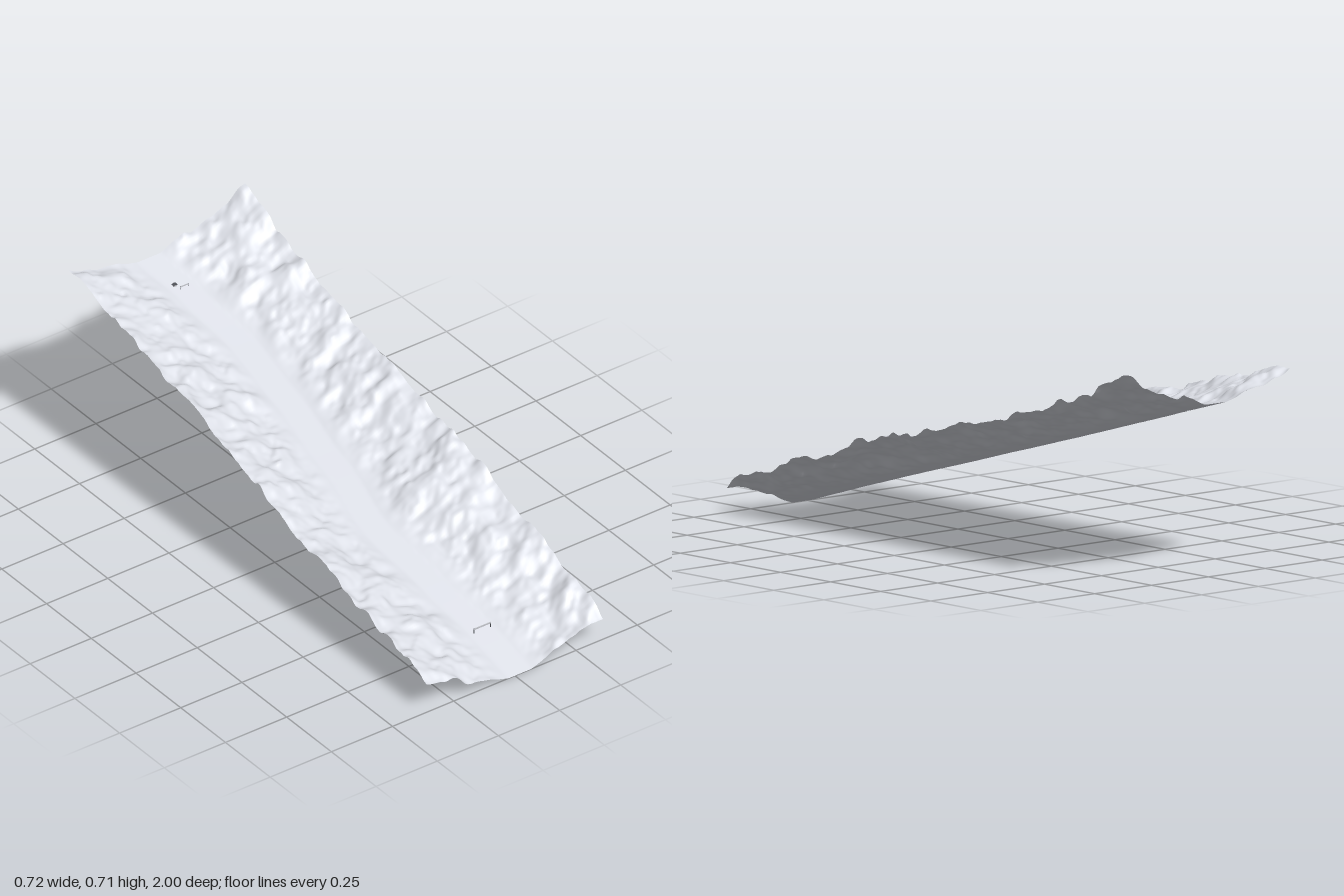
import * as THREE from 'three';

const snow = new THREE.MeshStandardMaterial({ color: 0xe8ebf3, side: THREE.DoubleSide });
snow.name = 'snow';
const darkMetal = new THREE.MeshStandardMaterial({ color: 0x55585e });
darkMetal.name = 'dark metal';
const paleBoard = new THREE.MeshStandardMaterial({ color: 0xc4c6cc });
paleBoard.name = 'pale board';

// Seeded lattice value and smooth noise
function lattice(i, j, seed) {
  let h = Math.imul(i, 374761393) ^ Math.imul(j, 668265263) ^ Math.imul(seed, 1274126177);
  h = Math.imul(h ^ (h >>> 13), 1274126177);
  return ((h ^ (h >>> 16)) >>> 0) / 2147483648 - 1;
}
function noise(x, z, seed) {
  const i = Math.floor(x), j = Math.floor(z);
  const u = THREE.MathUtils.smootherstep(x - i, 0, 1);
  const v = THREE.MathUtils.smootherstep(z - j, 0, 1);
  const a = THREE.MathUtils.lerp(lattice(i, j, seed), lattice(i + 1, j, seed), u);
  const b = THREE.MathUtils.lerp(lattice(i, j + 1, seed), lattice(i + 1, j + 1, seed), u);
  return THREE.MathUtils.lerp(a, b, v);
}

// Winding centre line of the piste: [z, x] from top to bottom
const bends = [[-1, -0.035], [-0.8, 0.002], [-0.55, 0.032], [-0.3, 0.022], [0, -0.005],
  [0.3, -0.045], [0.6, -0.012], [0.8, 0.013], [1, 0.02]];
function pisteCentre(z) {
  let k = 0;
  while (k < bends.length - 2 && z > bends[k + 1][0]) k++;
  const [z0, x0] = bends[k], [z1, x1] = bends[k + 1];
  return THREE.MathUtils.lerp(x0, x1, THREE.MathUtils.smoothstep(z, z0, z1));
}
function floorHeight(z) {
  const t = (1 - z) / 2;
  return 0.577 * t + 0.005 * Math.sin(2 * Math.PI * t);
}

// Flat piste in the middle, bumpy banks rising on both sides
function terrainHeight(x, z) {
  const d = Math.max(0, Math.abs(x - pisteCentre(z)) - 0.047);
  const rough = THREE.MathUtils.smoothstep(d, 0, 0.1);
  const bumps = 0.015 * noise(x * 11 + z * 3, z * 15, 3)
    + 0.008 * noise(x * 21 - z * 4, z * 30, 7)
    + 0.003 * noise(x * 45, z * 55, 11);
  const cornice = 0.02 * THREE.MathUtils.smoothstep(x, 0.22, 0.33) * THREE.MathUtils.smoothstep(-z, 0.82, 1);
  return floorHeight(z) + Math.max(0, 0.345 * d + rough * bumps + cornice);
}

function createTerrain() {
  const geometry = new THREE.PlaneGeometry(0.72, 2, 90, 260);
  geometry.rotateX(-Math.PI / 2);
  const p = geometry.attributes.position;
  for (let i = 0; i < p.count; i++) p.setY(i, terrainHeight(p.getX(i), p.getZ(i)));
  geometry.computeVertexNormals();
  const mesh = new THREE.Mesh(geometry, snow);
  mesh.name = 'snowSlope';
  return mesh;
}

function box(name, size, position, material) {
  const mesh = new THREE.Mesh(new THREE.BoxGeometry(...size), material);
  mesh.position.set(...position);
  mesh.name = name;
  return mesh;
}

// Two posts carrying a crossbeam
function createGate(name, x0, x1, z, height, beam) {
  const gate = new THREE.Group();
  gate.name = name;
  gate.position.set((x0 + x1) / 2, floorHeight(z), z);
  const w = x1 - x0;
  for (const s of [-1, 1]) {
    gate.add(box('gatePost', [0.002, height, 0.002], [s * (w / 2 - 0.001), height / 2, 0], darkMetal));
  }
  gate.add(box('gateBeam', [w, beam, 0.003], [0, height - beam / 2, 0], paleBoard));
  return gate;
}

// Tiny start hut with a pitched roof
function createHut() {
  const hut = new THREE.Group();
  hut.name = 'startHut';
  hut.position.set(-0.027, floorHeight(-0.865), -0.865);
  hut.add(box('hutWalls', [0.012, 0.006, 0.01], [0, 0.003, 0], paleBoard));
  const gable = new THREE.Shape([[-0.009, 0], [0.009, 0], [0, 0.004]].map(([x, y]) => new THREE.Vector2(x, y)));
  const roof = new THREE.Mesh(new THREE.ExtrudeGeometry(gable, { depth: 0.012, bevelEnabled: false }), darkMetal);
  roof.position.set(0, 0.006, -0.006);
  roof.name = 'hutRoof';
  hut.add(roof);
  return hut;
}

export function createModel() {
  const model = new THREE.Group();
  model.name = 'skiSlope';
  model.add(createTerrain());
  model.add(createGate('finishGate', -0.018, 0.051, 0.795, 0.019, 0.005));
  model.add(createGate('startGate', -0.018, 0.015, -0.845, 0.011, 0.003));
  model.add(createHut());
  return model;
}
